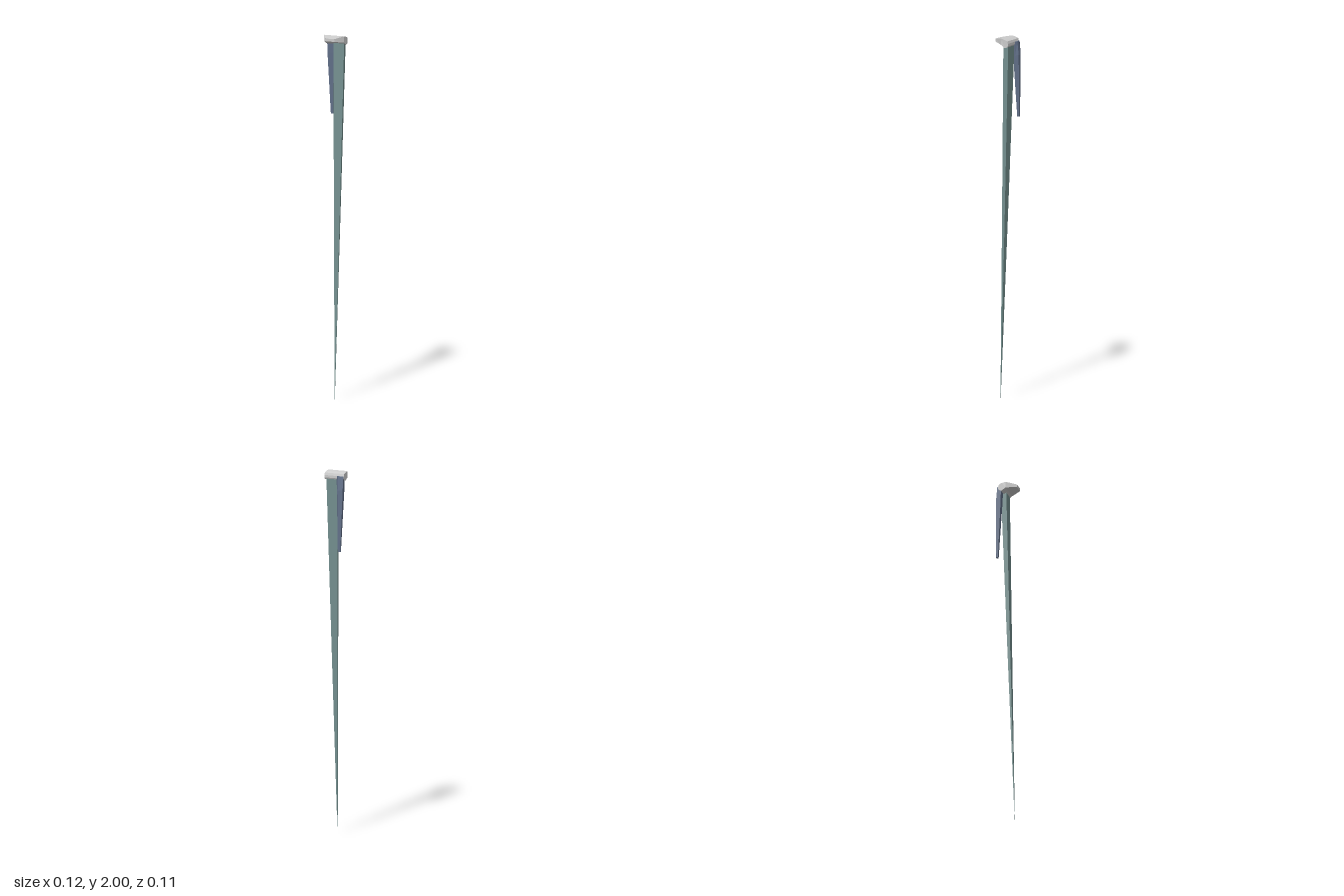
import * as THREE from 'three';

// Skins a series of rings (each counter-clockwise seen from the start) and closes both ends.
function loft(name, color, rings) {
  const pos = [];
  const tri = (...pts) => pts.forEach((p) => pos.push(...p));
  const n = rings[0].length;
  for (let i = 0; i < rings.length - 1; i++) {
    for (let j = 0; j < n; j++) {
      const k = (j + 1) % n;
      const a = rings[i][j], b = rings[i][k], c = rings[i + 1][k], d = rings[i + 1][j];
      tri(a, d, b);
      tri(b, d, c);
    }
  }
  const first = rings[0], last = rings[rings.length - 1];
  for (let j = 1; j < n - 1; j++) {
    tri(first[0], first[j], first[j + 1]);
    tri(last[0], last[j + 1], last[j]);
  }
  const geometry = new THREE.BufferGeometry();
  geometry.setAttribute('position', new THREE.Float32BufferAttribute(pos, 3));
  geometry.computeVertexNormals();
  const mesh = new THREE.Mesh(geometry, new THREE.MeshStandardMaterial({ color, flatShading: true }));
  mesh.name = name;
  return mesh;
}

// Horizontal ring at height y from [x, z] corners.
const level = (y, corners) => corners.map(([x, z]) => [x, y, z]);

export function createModel() {
  const group = new THREE.Group();
  group.name = 'icicles';

  // Snow cap: [z, half width at top, half width at bottom, top y, bottom y], front to back
  const capSections = [
    [0.057, 0.027, 0.029, 1.99, 1.975],
    [0.002, 0.058, 0.06, 2.0, 1.965],
    [-0.02, 0.06, 0.06, 1.995, 1.95],
    [-0.036, 0.06, 0.06, 1.988, 1.954],
    [-0.04, 0.06, 0.06, 1.975, 1.962],
  ];
  group.add(loft('snowCap', 0xcccccc, capSections.map(([z, wt, wb, yt, yb]) =>
    [[-wb, yb, z], [wb, yb, z], [wt, yt, z], [-wt, yt, z]])));

  // Long icicle, leaning forward to a needle point
  group.add(loft('longIcicle', 0x74908f, [
    level(1.968, [[-0.011, -0.009], [0.055, -0.009], [0.05, -0.037], [-0.018, -0.037]]),
    level(1.0, [[0.002, 0.01], [0.037, 0.01], [0.034, -0.005], [-0.001, -0.005]]),
    level(0, [[0.0165, 0.031], [0.0175, 0.031], [0.0175, 0.03], [0.0165, 0.03]]),
  ]));

  // Short icicle, hanging behind with a blunt end
  group.add(loft('shortIcicle', 0x627089, [
    level(1.975, [[-0.057, -0.025], [-0.018, -0.025], [-0.014, -0.038], [-0.028, -0.049], [-0.045, -0.049], [-0.059, -0.045]]),
    level(1.9, [[-0.056, -0.027], [-0.02, -0.027], [-0.017, -0.041], [-0.028, -0.057], [-0.045, -0.057], [-0.059, -0.052]]),
    level(1.56, [[-0.045, -0.046], [-0.031, -0.046], [-0.029, -0.052], [-0.032, -0.058], [-0.041, -0.058], [-0.046, -0.055]]),
  ]));

  return group;
}
